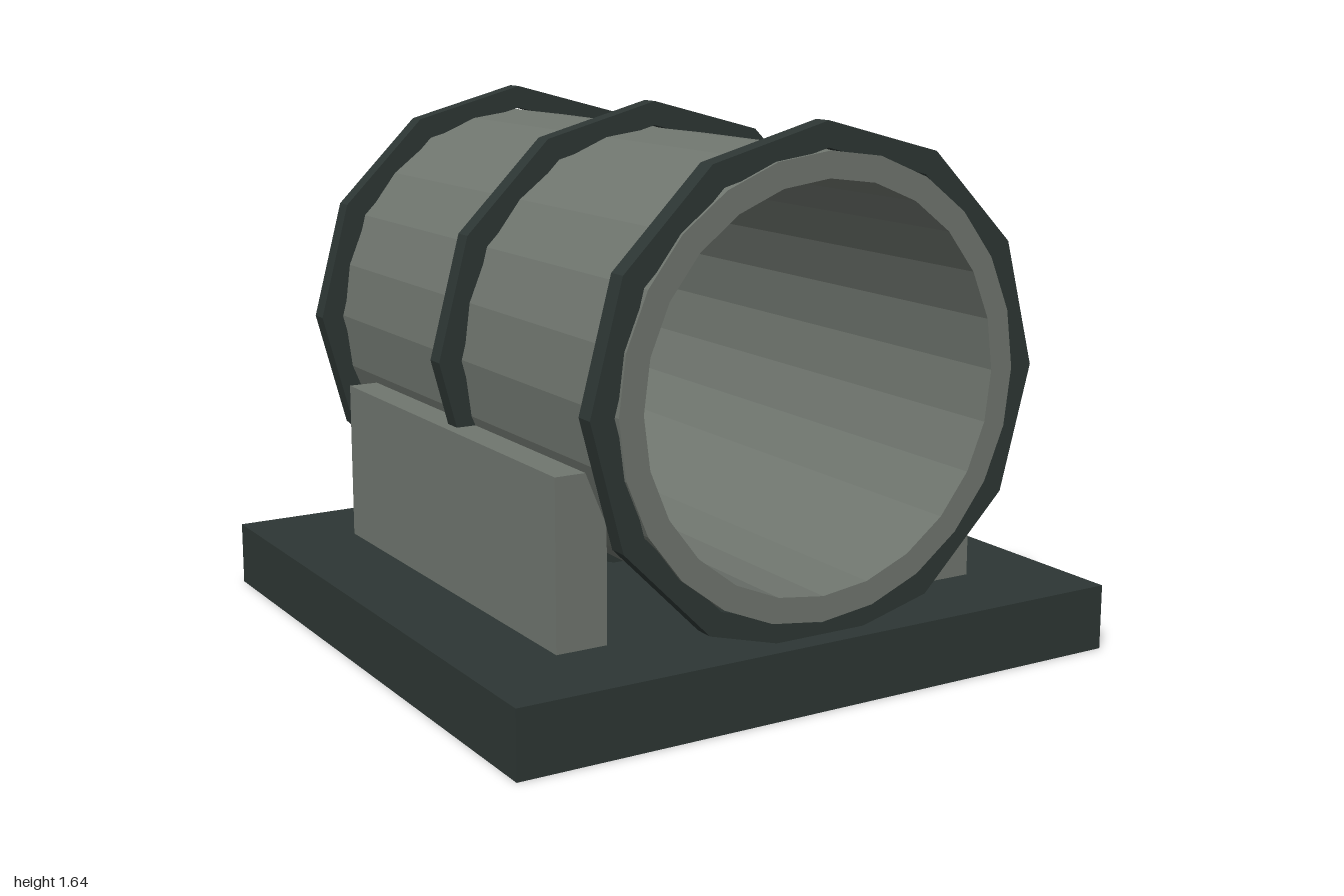
import * as THREE from 'three';

const AXIS_Y = 0.9; // height of the pipe's centre line

// Regular polygon points with a corner on the +x axis
function polygon(radius, sides) {
  return Array.from({ length: sides }, (_, i) => {
    const a = (i / sides) * Math.PI * 2;
    return new THREE.Vector2(Math.cos(a) * radius, Math.sin(a) * radius);
  });
}

// Faceted hollow ring lying along z, centred on its own origin
function ringGeometry(outer, inner, sides, depth) {
  const shape = new THREE.Shape(polygon(outer, sides));
  shape.holes.push(new THREE.Path(polygon(inner, sides)));
  const geometry = new THREE.ExtrudeGeometry(shape, { depth, bevelEnabled: false });
  geometry.translate(0, 0, -depth / 2);
  return geometry;
}

export function createModel() {
  const model = new THREE.Group();
  model.name = 'pipeOnCradle';

  const grey = new THREE.MeshStandardMaterial({ name: 'concrete grey', color: 0x70766f });
  const dark = new THREE.MeshStandardMaterial({ name: 'dark slate', color: 0x2d3634 });

  const add = (name, geometry, material, x, y, z) => {
    const mesh = new THREE.Mesh(geometry, material);
    mesh.name = name;
    mesh.position.set(x, y, z);
    model.add(mesh);
  };

  // Base slab
  add('base', new THREE.BoxGeometry(2, 0.2, 2), dark, 0, 0.1, 0);

  // Open pipe
  add('pipe', ringGeometry(0.66, 0.585, 24, 1.88), grey, 0, AXIS_Y, 0);

  // Bands at both ends and the middle
  const band = ringGeometry(0.74, 0.667, 12, 0.06);
  [['frontBand', 0.9], ['middleBand', 0], ['backBand', -0.9]].forEach(([name, z]) =>
    add(name, band, dark, 0, AXIS_Y, z));

  // Side supports
  const support = new THREE.BoxGeometry(0.16, 0.5, 1.4);
  [['leftSupport', 1], ['rightSupport', -1]].forEach(([name, side]) =>
    add(name, support, grey, side * 0.64, 0.45, 0));

  return model;
}
